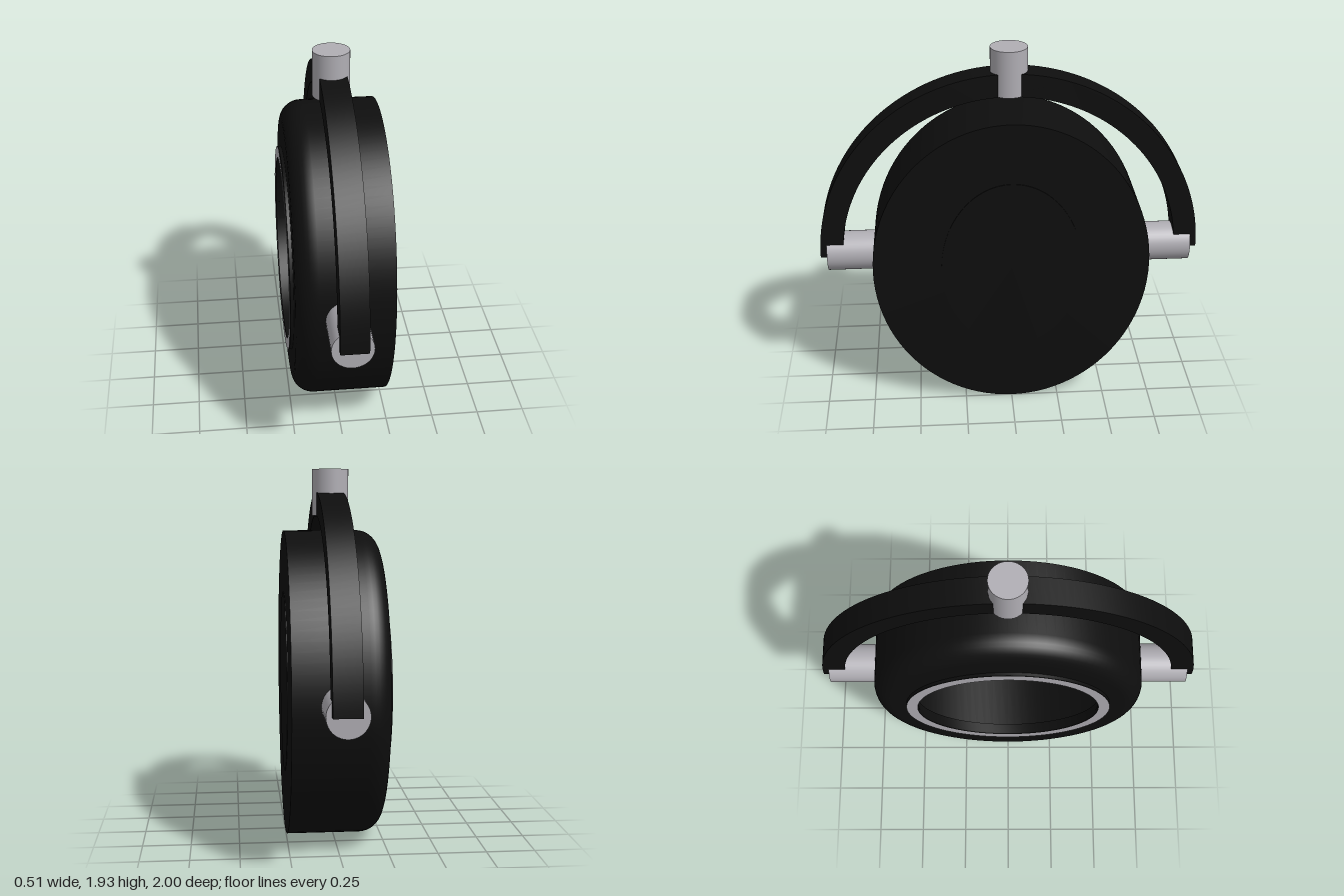
import * as THREE from 'three';
import { toCreasedNormals } from 'three/addons/utils/BufferGeometryUtils.js';

export function createModel() {
  const group = new THREE.Group();
  const black = new THREE.MeshStandardMaterial({ color: 0x0e0e0e });
  black.name = 'matte black';
  const grey = new THREE.MeshStandardMaterial({ color: 0xb0aeb4 });
  grey.name = 'light metal grey';
  const CY = 0.81;

  const add = (name, geometry, material, x, y, z) => {
    const mesh = new THREE.Mesh(geometry, material);
    mesh.name = name;
    mesh.position.set(x, y, z);
    group.add(mesh);
    return mesh;
  };
  // Lathe turned so that its axis runs along x; points are [radius, x]
  const turned = (points) => {
    const g = new THREE.LatheGeometry(points.map(([r, x]) => new THREE.Vector2(r, x)), 96);
    g.rotateZ(-Math.PI / 2);
    return g;
  };

  // Hollow oval cup: open on -x with a rounded rim, flat and closed on +x
  const profile = [[0, 0.21], [0.78, 0.21], [0.78, -0.2], [0.54, -0.2], [0.54, -0.24]];
  for (let i = 0; i <= 8; i++) {
    const a = (i / 8) * Math.PI / 2;
    profile.push([0.7 + 0.105 * Math.sin(a), -0.13 - 0.11 * Math.cos(a)]);
  }
  profile.push([0.805, 0.25], [0, 0.25]);
  const cup = turned(profile);
  cup.scale(1, 1, 0.72 / 0.805);
  add('cup', toCreasedNormals(cup, 0.6), black, 0, 0.807, 0);

  // Faint oval plate on the closed side
  const plate = new THREE.CylinderGeometry(1, 1, 0.006, 64);
  plate.rotateZ(-Math.PI / 2);
  plate.scale(1, 0.48, 0.365);
  add('ovalPlate', plate, black, 0.251, CY, 0);

  // Round collar at the opening, with a grey face
  const collar = turned([[0.485, -0.2], [0.485, -0.257], [0.545, -0.257], [0.545, -0.2], [0.485, -0.2]]);
  add('collar', toCreasedNormals(collar, 0.6), black, 0, CY, 0);
  const face = new THREE.RingGeometry(0.485, 0.545, 96);
  face.rotateY(-Math.PI / 2);
  add('collarFace', face, grey, -0.26, CY, 0);

  // Half-round yoke
  const arc = new THREE.Shape();
  arc.absarc(0, 0, 1, 0, Math.PI, false);
  arc.absarc(0, 0, 0.88, Math.PI, 0, true);
  arc.closePath();
  const yoke = new THREE.ExtrudeGeometry(arc, { depth: 0.14, bevelEnabled: false, curveSegments: 40 });
  yoke.rotateY(Math.PI / 2);
  add('yoke', toCreasedNormals(yoke, 0.6), black, -0.06, CY, 0);

  // Pivot pins at both ends and the stem on top
  for (const [name, side] of [['frontPin', 1], ['backPin', -1]]) {
    const pin = add(name, new THREE.CylinderGeometry(0.104, 0.104, 0.275, 40), grey, 0.005, CY, side * 0.8275);
    pin.rotation.x = Math.PI / 2;
  }
  add('topStem', new THREE.CylinderGeometry(0.095, 0.095, 0.24, 40), grey, 0.005, 1.81, 0);

  return group;
}
